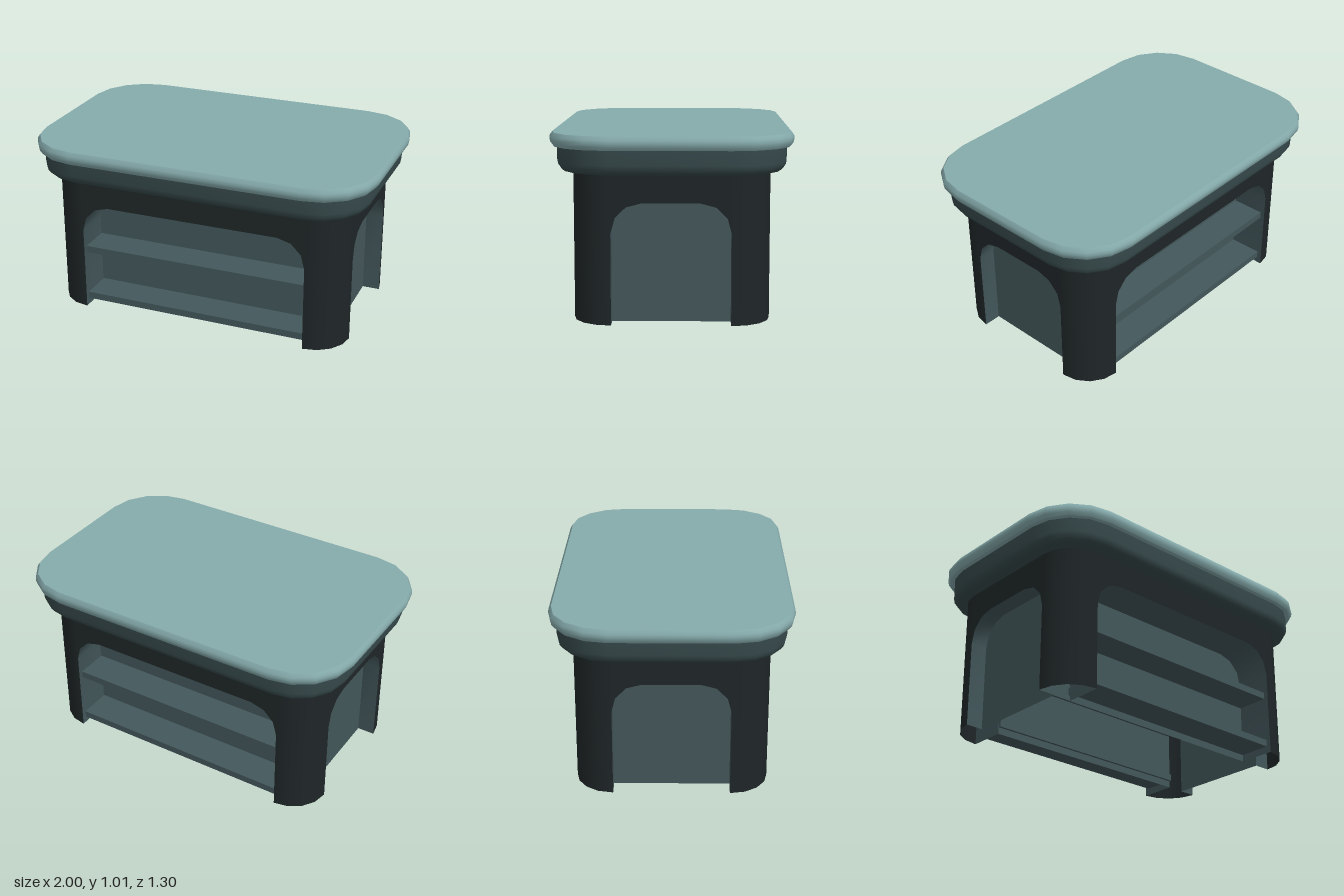
import * as THREE from 'three';
import { toCreasedNormals } from 'three/addons/utils/BufferGeometryUtils.js';

const CX = 0.67, CZ = 0.32;      // centres of the rounded corners
const BODY_R = 0.205, BODY_H = 0.81;
const ARCH_H = 0.65, ARCH_R = 0.16;

const mat = (color) => new THREE.MeshStandardMaterial({ color, side: THREE.DoubleSide });

function add(parent, name, geometry, material) {
  const mesh = new THREE.Mesh(geometry, material);
  mesh.name = name;
  parent.add(mesh);
  return mesh;
}

// Rounded-rectangle outline with four facets per corner
function outline(r) {
  const pts = [];
  for (let q = 0; q < 4; q++) {
    const sx = q === 0 || q === 3 ? 1 : -1, sz = q < 2 ? 1 : -1;
    for (let i = 0; i <= 4; i++) {
      const a = (q + i / 4) * Math.PI / 2;
      pts.push([sx * CX + r * Math.cos(a), sz * CZ + r * Math.sin(a)]);
    }
  }
  return pts;
}

// Closed slab from stacked outlines; profile is a list of [corner radius, y]
function slab(profile) {
  const pos = [], index = [], n = 20;
  for (const [r, y] of profile) for (const [x, z] of outline(r)) pos.push(x, y, z);
  for (let k = 0; k < profile.length - 1; k++) {
    for (let i = 0; i < n; i++) {
      const a = k * n + i, b = k * n + (i + 1) % n;
      index.push(a, a + n, b, b, a + n, b + n);
    }
  }
  const top = (profile.length - 1) * n;
  for (let i = 1; i < n - 1; i++) {
    index.push(0, i, i + 1, top, top + i + 1, top + i);
  }
  const g = new THREE.BufferGeometry();
  g.setAttribute('position', new THREE.Float32BufferAttribute(pos, 3));
  g.setIndex(index);
  return toCreasedNormals(g, 0.8);
}

// Arch outline from the lower right foot over to the lower left foot
function archPoints(half) {
  const pts = [new THREE.Vector2(half, 0)];
  for (let side = 0; side < 2; side++) {
    for (let i = 0; i <= 3; i++) {
      const a = (side + i / 3) * Math.PI / 2;
      const cx = (side ? -1 : 1) * (half - ARCH_R);
      pts.push(new THREE.Vector2(cx + ARCH_R * Math.cos(a), ARCH_H - ARCH_R + ARCH_R * Math.sin(a)));
    }
  }
  pts.push(new THREE.Vector2(-half, 0));
  return pts;
}

// Flat wall with an arched opening
function wallGeometry(half) {
  const pts = archPoints(half - 0.004);
  return new THREE.ShapeGeometry(new THREE.Shape([
    new THREE.Vector2(-half, 0), new THREE.Vector2(-half, BODY_H),
    new THREE.Vector2(half, BODY_H), new THREE.Vector2(half, 0), ...pts,
  ]));
}

// Inner lining of an arch, running back from z = 0
function revealGeometry(half, depth) {
  const pts = archPoints(half), pos = [], index = [];
  pts.forEach((p, i) => {
    pos.push(p.x, p.y, 0, p.x, p.y, -depth);
    if (i) index.push(2 * i - 2, 2 * i, 2 * i - 1, 2 * i - 1, 2 * i, 2 * i + 1);
  });
  const g = new THREE.BufferGeometry();
  g.setAttribute('position', new THREE.Float32BufferAttribute(pos, 3));
  g.setIndex(index);
  return toCreasedNormals(g, 0.6);
}

// One side of the base: wall, arch lining and recessed panel
function baseSide(name, half, depth, shellMat, nicheMat) {
  const side = new THREE.Group();
  side.name = name;
  add(side, 'archedWall', wallGeometry(half), shellMat);
  add(side, 'archLining', revealGeometry(half - 0.004, depth), nicheMat);
  const panel = new THREE.ShapeGeometry(new THREE.Shape(archPoints(half - 0.004)));
  add(side, 'recessPanel', panel, nicheMat).position.z = -depth;
  return side;
}

export function createModel() {
  const model = new THREE.Group();
  model.name = 'shelvedTable';
  const topMat = mat(0x86abac), apronMat = mat(0x374a4c);
  const shellMat = mat(0x1f2628), nicheMat = mat(0x43575b);

  // Table top with bevelled rim
  add(model, 'tableTop', slab([
    [0.314, 0.935], [0.326, 0.952], [0.33, 0.97], [0.328, 0.988], [0.314, 1.008],
  ]), topMat);

  // Apron with rounded lower edge
  const apron = [];
  for (let i = 0; i <= 4; i++) {
    const a = i / 4 * Math.PI / 2;
    apron.push([0.235 + 0.055 * Math.sin(a), 0.855 - 0.055 * Math.cos(a)]);
  }
  apron.push([0.29, 0.937]);
  add(model, 'apron', slab(apron), apronMat);

  // Hollow rounded corner legs
  for (let q = 0; q < 4; q++) {
    const leg = new THREE.CylinderGeometry(BODY_R, BODY_R, BODY_H, 4, 1, true, q * Math.PI / 2, Math.PI / 2);
    add(model, 'cornerLeg', leg, shellMat).position.set(
      q < 2 ? CX : -CX, BODY_H / 2, q === 0 || q === 3 ? CZ : -CZ);
  }

  // Front and back with shelves, and the two ends
  for (const s of [1, -1]) {
    const turn = s > 0 ? 0 : Math.PI;
    const long = baseSide(s > 0 ? 'frontSide' : 'backSide', CX, 0.215, shellMat, nicheMat);
    long.position.z = s * (CZ + BODY_R);
    long.rotation.y = turn;
    for (const y of [0.06, 0.36]) {
      add(long, 'shelf', new THREE.BoxGeometry(1.328, 0.04, 0.205), nicheMat).position.set(0, y, -0.1275);
    }
    model.add(long);

    const end = baseSide(s > 0 ? 'leftEnd' : 'rightEnd', CZ, 0.1, shellMat, nicheMat);
    end.position.x = s * (CX + BODY_R);
    end.rotation.y = s * Math.PI / 2;
    model.add(end);
  }
  return model;
}
